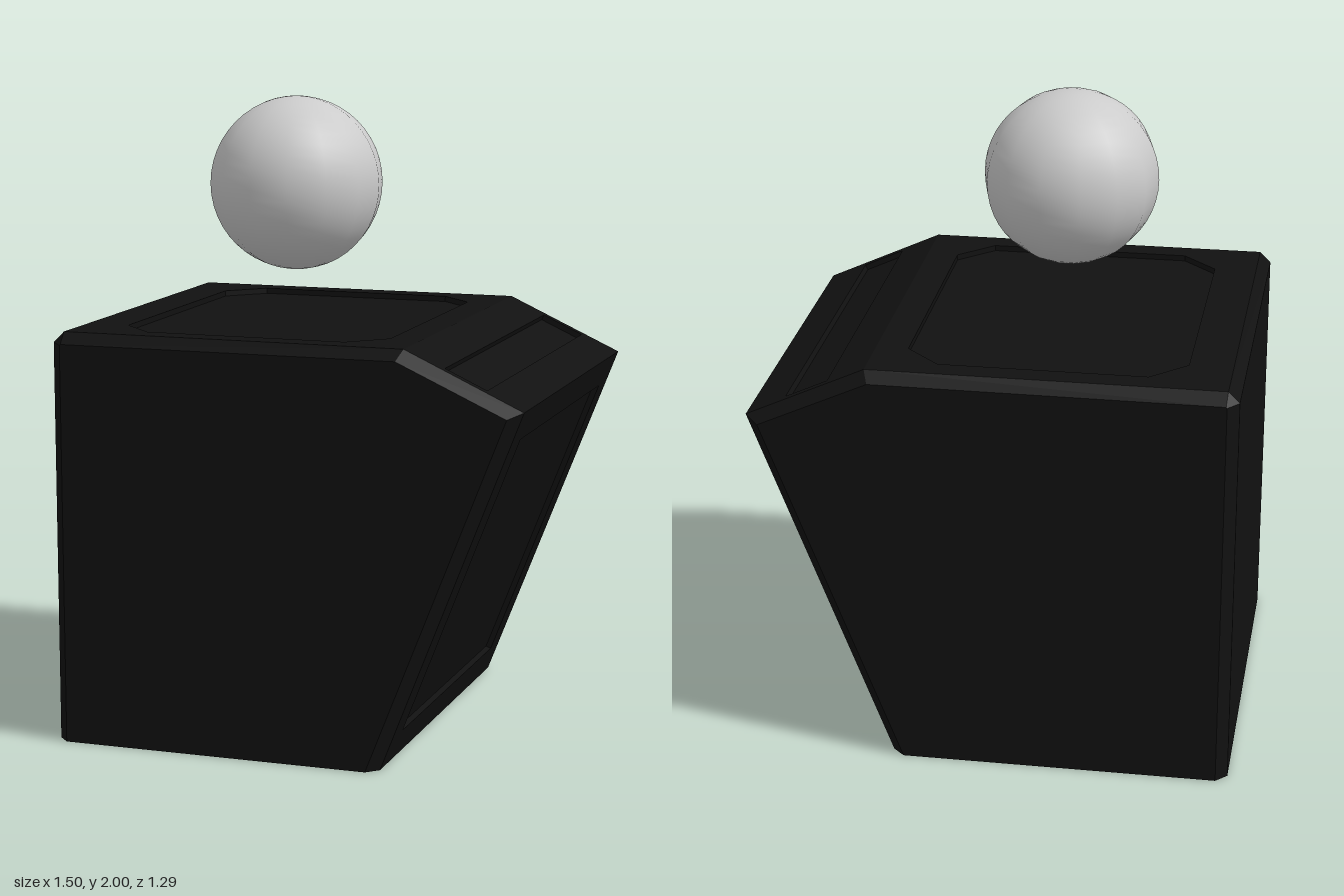
import * as THREE from 'three';

const dark = new THREE.MeshStandardMaterial({ color: 0x111111, flatShading: true });
const grey = new THREE.MeshStandardMaterial({ color: 0xcccccc });

// Side profile (x, y), counter-clockwise seen from the front, and its chamfered end outline
const profile = [[-0.75, 0], [0.31, 0], [0.75, 1.13], [0.38, 1.3], [-0.715, 1.3], [-0.75, 1.265]];
const endProfile = [[-0.715, 0], [0.273, 0], [0.707, 1.112], [0.365, 1.267], [-0.712, 1.265], [-0.715, 1.262]];
const innerZ = 0.607, outerZ = 0.643, recess = 0.018;

// Rectangle from x a..b, y -c..c with corners cut by k
function panelPoints(a, b, c, k) {
  const pts = k
    ? [[a + k, -c], [b - k, -c], [b, -c + k], [b, c - k], [b - k, c], [a + k, c], [a, c - k], [a, -c + k]]
    : [[a, -c], [b, -c], [b, c], [a, c]];
  return pts.map(([x, y]) => new THREE.Vector2(x, y));
}

// One face of the body along a profile edge, optionally with a recessed panel
function addFace(group, name, p, q, panel) {
  const dir = new THREE.Vector3(q[0] - p[0], q[1] - p[1], 0);
  const length = dir.length();
  dir.normalize();
  const face = new THREE.Group();
  face.name = name;
  const shape = new THREE.Shape(panelPoints(0, length, innerZ, 0));
  if (panel) {
    const points = panelPoints(...panel);
    shape.holes.push(new THREE.Path(points));
    const frame = new THREE.Mesh(
      new THREE.ExtrudeGeometry(shape, { depth: recess, bevelEnabled: false }).translate(0, 0, -recess), dark);
    frame.name = name + 'Frame';
    const floor = new THREE.Mesh(
      new THREE.ShapeGeometry(new THREE.Shape(points)).translate(0, 0, -recess), dark);
    floor.name = name + 'Panel';
    face.add(frame, floor);
  } else {
    const plate = new THREE.Mesh(new THREE.ShapeGeometry(shape), dark);
    plate.name = name + 'Plate';
    face.add(plate);
  }
  const normal = new THREE.Vector3(dir.y, -dir.x, 0);
  face.quaternion.setFromRotationMatrix(
    new THREE.Matrix4().makeBasis(dir, new THREE.Vector3(0, 0, 1), normal));
  face.position.set(p[0], p[1], 0);
  group.add(face);
}

// End wall: flat outline plus the chamfer strip around it
function endWall(name) {
  const wall = new THREE.Group();
  wall.name = name;
  const outline = new THREE.Shape(endProfile.map(([x, y]) => new THREE.Vector2(x, y)));
  const cap = new THREE.Mesh(new THREE.ShapeGeometry(outline).translate(0, 0, outerZ), dark);
  cap.name = name + 'Cap';
  const verts = [];
  profile.forEach((p, i) => {
    const j = (i + 1) % profile.length;
    const a = [...p, innerZ], b = [...profile[j], innerZ];
    const c = [...endProfile[j], outerZ], d = [...endProfile[i], outerZ];
    verts.push(...a, ...b, ...c, ...a, ...c, ...d);
  });
  const geometry = new THREE.BufferGeometry();
  geometry.setAttribute('position', new THREE.Float32BufferAttribute(verts, 3));
  geometry.computeVertexNormals();
  const chamfer = new THREE.Mesh(geometry, dark);
  chamfer.name = name + 'Chamfer';
  wall.add(cap, chamfer);
  return wall;
}

export function createModel() {
  const model = new THREE.Group();
  model.name = 'model';

  // Body: faces around the profile
  const body = new THREE.Group();
  body.name = 'body';
  const faces = [
    ['base'],
    ['slantedSide', [0.107, 1.105, 0.5, 0]],
    ['slopedTop', [0.132, 0.275, 0.58, 0]],
    ['top', [0.1, 0.96, 0.53, 0.11]],
    ['topChamfer'],
    ['straightSide'],
  ];
  faces.forEach(([name, panel], i) =>
    addFace(body, name, profile[i], profile[(i + 1) % profile.length], panel));

  // Front and back end walls
  const front = endWall('frontWall');
  const back = endWall('backWall');
  back.traverse((o) => {
    if (!o.isMesh) return;
    // Mirror in z and reverse the winding
    const g = o.geometry.index ? o.geometry.toNonIndexed() : o.geometry;
    g.scale(1, 1, -1);
    const pos = g.attributes.position;
    for (let i = 0; i < pos.count; i += 3) {
      const b = new THREE.Vector3().fromBufferAttribute(pos, i + 1);
      const c = new THREE.Vector3().fromBufferAttribute(pos, i + 2);
      pos.setXYZ(i + 1, c.x, c.y, c.z);
      pos.setXYZ(i + 2, b.x, b.y, b.z);
    }
    g.computeVertexNormals();
    o.geometry = g;
  });
  body.add(front, back);
  model.add(body);

  // Ball floating above the body
  const ball = new THREE.Mesh(new THREE.SphereGeometry(0.275, 14, 24), grey);
  ball.name = 'ball';
  ball.position.set(-0.155, 1.725, 0.04);
  model.add(ball);

  return model;
}
